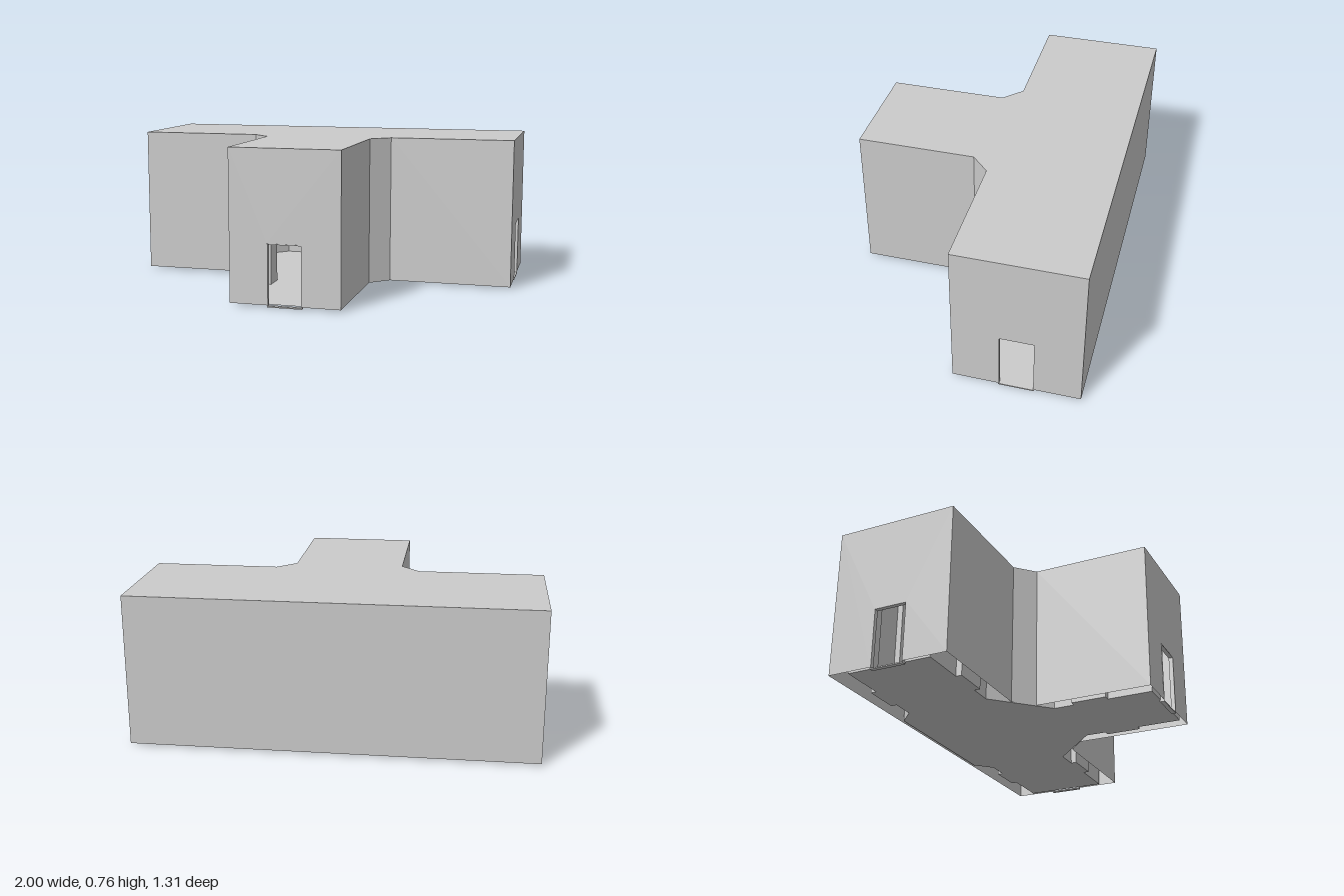
import * as THREE from 'three';

const BASE = 0.01, TOP = 0.765, CEILING = 0.72;
const DOOR_W = 0.174, DOOR_H = 0.31, ARM_Z = -0.3425;

const material = new THREE.MeshStandardMaterial({ color: 0xcccccc, side: THREE.DoubleSide });

// Half plans [x, z] from the front of the stem round to the back, for x >= 0
const outerHalf = [[0.277, 0.655], [0.277, 0.06], [0.37, -0.03], [1, -0.03], [1, -0.655]];
const innerHalf = [
  [0.205, 0.637], [0.205, 0.41], [0.235, 0.41], [0.235, 0.23], [0.205, 0.23],
  [0.205, 0.125], [0.455, -0.125],
  [0.57, -0.125], [0.57, -0.095], [0.75, -0.095], [0.75, -0.125], [0.982, -0.125],
  [0.982, -0.56], [0.75, -0.56], [0.75, -0.59], [0.57, -0.59], [0.57, -0.56],
  [0.455, -0.56], [0.375, -0.64],
];

function mirrorPlan(half) {
  return [...half, ...half.map(([x, z]) => [-x, z]).reverse()];
}

function addMesh(parent, geometry, name) {
  const mesh = new THREE.Mesh(geometry, material);
  mesh.name = name;
  parent.add(mesh);
  return mesh;
}

// Vertical panel from p to q, with a doorway in its middle when asked
function wallGeometry(p, q, y0, y1, hasDoor) {
  const dx = q[0] - p[0], dz = q[1] - p[1], len = Math.hypot(dx, dz);
  const shape = new THREE.Shape();
  shape.moveTo(0, y0);
  if (hasDoor) {
    const a = (len - DOOR_W) / 2, b = (len + DOOR_W) / 2;
    shape.lineTo(a, y0);
    shape.lineTo(a, DOOR_H);
    shape.lineTo(b, DOOR_H);
    shape.lineTo(b, y0);
  }
  shape.lineTo(len, y0);
  shape.lineTo(len, y1);
  shape.lineTo(0, y1);
  shape.closePath();
  const u = new THREE.Vector3(dx / len, 0, dz / len);
  const up = new THREE.Vector3(0, 1, 0);
  const matrix = new THREE.Matrix4().makeBasis(u, up, u.clone().cross(up));
  matrix.setPosition(p[0], 0, p[1]);
  return new THREE.ShapeGeometry(shape).applyMatrix4(matrix);
}

function slabGeometry(plan, y) {
  const shape = new THREE.Shape(plan.map(([x, z]) => new THREE.Vector2(x, -z)));
  return new THREE.ShapeGeometry(shape).rotateX(-Math.PI / 2).translate(0, y, 0);
}

// The three corridor ends carry doorways
function isEnd(p, q) {
  return (p[1] > 0.6 && q[1] > 0.6) || (Math.abs(p[0]) > 0.95 && Math.abs(p[0] - q[0]) < 0.01);
}

function addWalls(parent, plan, y1, name) {
  plan.forEach((p, i) => {
    const q = plan[(i + 1) % plan.length];
    addMesh(parent, wallGeometry(p, q, BASE, y1, isEnd(p, q)), name);
  });
}

// Thin lining of a doorway: jambs, head and sill; the local outside is +z
function doorFrame() {
  const frame = new THREE.Group();
  const t = 0.004, depth = 0.022;
  const bar = (w, h, x, y, name) =>
    addMesh(frame, new THREE.BoxGeometry(w, h, depth), name).position.set(x, y, -depth / 2);
  for (const side of [-1, 1]) {
    bar(t, DOOR_H, side * (DOOR_W - t) / 2, DOOR_H / 2, 'doorJamb');
  }
  bar(DOOR_W - 2 * t, t, 0, DOOR_H - t / 2, 'doorHead');
  bar(DOOR_W - 2 * t, 0.006, 0, 0.003, 'doorSill');
  frame.name = 'doorFrame';
  return frame;
}

export function createModel() {
  const model = new THREE.Group();
  model.name = 'corridorJunction';

  // Outer shell, open underneath
  const shell = new THREE.Group();
  shell.name = 'outerShell';
  const outer = mirrorPlan(outerHalf);
  addWalls(shell, outer, TOP, 'outerWall');
  addMesh(shell, slabGeometry(outer, TOP), 'roof');
  model.add(shell);

  // Inner passage, walls facing inwards
  const passage = new THREE.Group();
  passage.name = 'innerPassage';
  const inner = mirrorPlan(innerHalf);
  addWalls(passage, [...inner].reverse(), CEILING, 'innerWall');
  addMesh(passage, slabGeometry(inner, BASE), 'floor');
  addMesh(passage, slabGeometry(inner, CEILING), 'ceiling');
  model.add(passage);

  // Doorways at the stem and both arms
  for (const [x, z, turn] of [[0, 0.657, 0], [1, ARM_Z, Math.PI / 2], [-1, ARM_Z, -Math.PI / 2]]) {
    const frame = doorFrame();
    frame.position.set(x, 0, z);
    frame.rotation.y = turn;
    model.add(frame);
  }
  return model;
}
